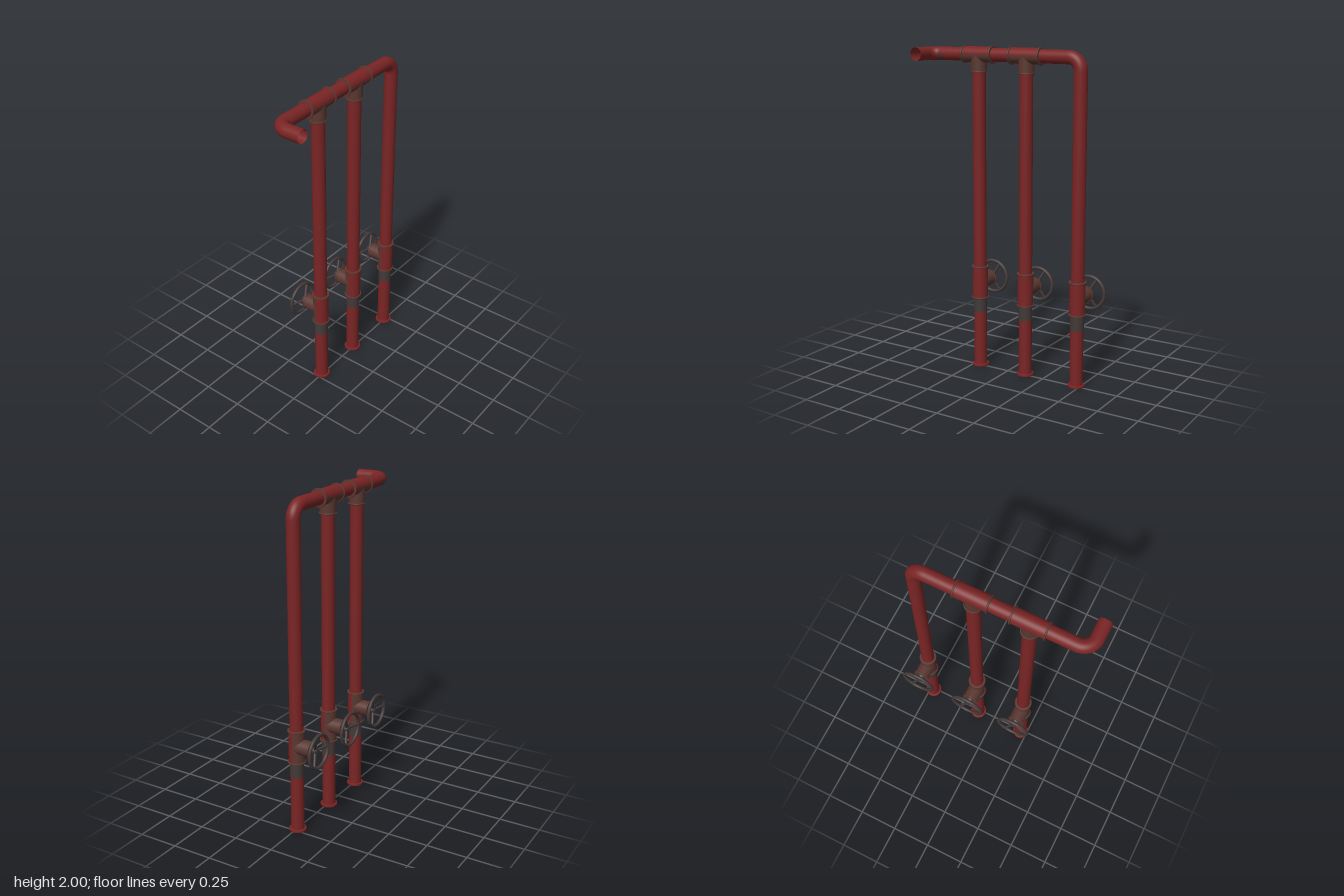
import * as THREE from 'three';

const mat = (name, color) => {
  const m = new THREE.MeshStandardMaterial({ color, side: THREE.DoubleSide });
  m.name = name;
  return m;
};

export function createModel() {
  const red = mat('red paint', 0x7a2424);
  const rust = mat('worn rusty paint', 0x5a3730);
  const iron = mat('dark iron', 0x433938);
  const V = (x, y, z) => new THREE.Vector3(x, y, z);
  const PX = -0.008, TOP = 1.945, R = 0.04, BODY = 0.047, RIM = 0.054;
  const group = new THREE.Group();
  group.name = 'pipework';

  const add = (parent, name, geo, material, x = 0, y = 0, z = 0) => {
    const m = new THREE.Mesh(geo, material);
    m.name = name;
    m.position.set(x, y, z);
    parent.add(m);
    return m;
  };
  const open = (r, h, start = 0, len = Math.PI * 2) =>
    new THREE.CylinderGeometry(r, r, h, 32, 1, true, start, len);

  // Ring with softly bevelled corners, open in the middle
  const rimGeo = (outer, inner, h) => {
    const b = 0.002, k = h / 2;
    return new THREE.LatheGeometry([
      [inner, -k], [outer - b, -k], [outer, -k + b], [outer, k - b], [outer - b, k], [inner, k],
    ].map(([x, y]) => new THREE.Vector2(x, y)), 32);
  };

  // Two-tone sleeve along local y with a rim at each end
  const sleeve = (name, len, redStart) => {
    const g = new THREE.Group();
    g.name = name;
    add(g, 'paintedHalf', open(BODY, len, redStart, Math.PI), red);
    add(g, 'wornHalf', open(BODY, len, redStart + Math.PI, Math.PI), rust);
    for (const s of [-1, 1]) {
      add(g, 'endRim', rimGeo(RIM, R - 0.002, 0.009), rust, 0, s * (len / 2 - 0.0045), 0);
    }
    return g;
  };

  // Main pipe: up the rear riser, along the top, then out to the left
  const bend = (from, corner, to) => {
    const k = 0.5523;
    return new THREE.CubicBezierCurve3(from, from.clone().lerp(corner, k), to.clone().lerp(corner, k), to);
  };
  const backZ = -0.476, endZ = 0.545, B = 0.075;
  const p = [
    V(PX, 0, backZ), V(PX, TOP - B, backZ), V(PX, TOP, backZ + B),
    V(PX, TOP, endZ - B), V(PX + B, TOP, endZ), V(0.167, TOP, endZ),
  ];
  const path = new THREE.CurvePath();
  path.add(new THREE.LineCurve3(p[0], p[1]));
  path.add(bend(p[1], V(PX, TOP, backZ), p[2]));
  path.add(new THREE.LineCurve3(p[2], p[3]));
  path.add(bend(p[3], V(PX, TOP, endZ), p[4]));
  path.add(new THREE.LineCurve3(p[4], p[5]));
  add(group, 'mainPipe', new THREE.TubeGeometry(path, 320, R, 32), red);

  // Worn patch under the start of the outlet bend
  const patch = add(group, 'wornPatch', open(R + 0.001, 0.03, -Math.PI / 2, Math.PI), iron, PX, TOP, 0.463);
  patch.rotation.x = Math.PI / 2;

  // Front risers and the tees that join them to the top pipe
  for (const z of [0.207, -0.121]) {
    add(group, 'riser', open(R, TOP), red, PX, TOP / 2, z);
    const tee = new THREE.Group();
    tee.name = 'tee';
    tee.position.set(PX, TOP, z);
    const run = sleeve('teeRun', 0.206, Math.PI / 2);
    run.rotation.x = Math.PI / 2;
    tee.add(run);
    add(tee, 'teeBranch', open(BODY, 0.1), rust, 0, -0.05, 0);
    add(tee, 'branchRim', rimGeo(RIM - 0.002, R - 0.002, 0.009), rust, 0, -0.1, 0);
    group.add(tee);
  }

  // Valve with bonnet, stem and dished three-spoke handwheel facing -x
  const makeValve = () => {
    const g = new THREE.Group();
    g.name = 'valve';
    g.add(sleeve('valveBody', 0.206, 0));
    const side = new THREE.Group();
    side.name = 'bonnetAndWheel';
    side.rotation.z = Math.PI / 2; // local +y becomes -x
    g.add(side);
    add(side, 'bonnet', new THREE.CylinderGeometry(0.047, 0.047, 0.1, 32), rust, 0, 0.05, 0);
    add(side, 'bonnetRim', rimGeo(0.052, 0.01, 0.009), rust, 0, 0.1025, 0);
    add(side, 'gland', new THREE.CylinderGeometry(0.016, 0.026, 0.018, 24), iron, 0, 0.115, 0);
    add(side, 'stem', new THREE.CylinderGeometry(0.011, 0.011, 0.04, 20), iron, 0, 0.122, 0);
    add(side, 'hub', new THREE.CylinderGeometry(0.017, 0.02, 0.018, 24), iron, 0, 0.13, 0);
    const rim = add(side, 'wheelRim', new THREE.TorusGeometry(0.1, 0.0105, 12, 48), iron, 0, 0.15, 0);
    rim.rotation.x = Math.PI / 2;
    for (let i = 0; i < 3; i++) {
      const a = i * Math.PI * 2 / 3;
      const c = Math.sin(a), d = Math.cos(a);
      const spoke = new THREE.LineCurve3(V(c * 0.008, 0.128, d * 0.008), V(c * 0.1, 0.15, d * 0.1));
      add(side, 'spoke', new THREE.TubeGeometry(spoke, 1, 0.0085, 10), iron);
    }
    return g;
  };

  // Each riser carries a valve, a bare collar and a foot rim
  for (const z of [0.207, -0.121, backZ]) {
    const valve = makeValve();
    valve.position.set(PX, 0.547, z);
    group.add(valve);
    add(group, 'bareCollar', open(R + 0.001, 0.09), iron, PX, 0.4, z);
    add(group, 'footRim', rimGeo(0.052, R - 0.002, 0.014), red, PX, 0.007, z);
  }
  return group;
}
